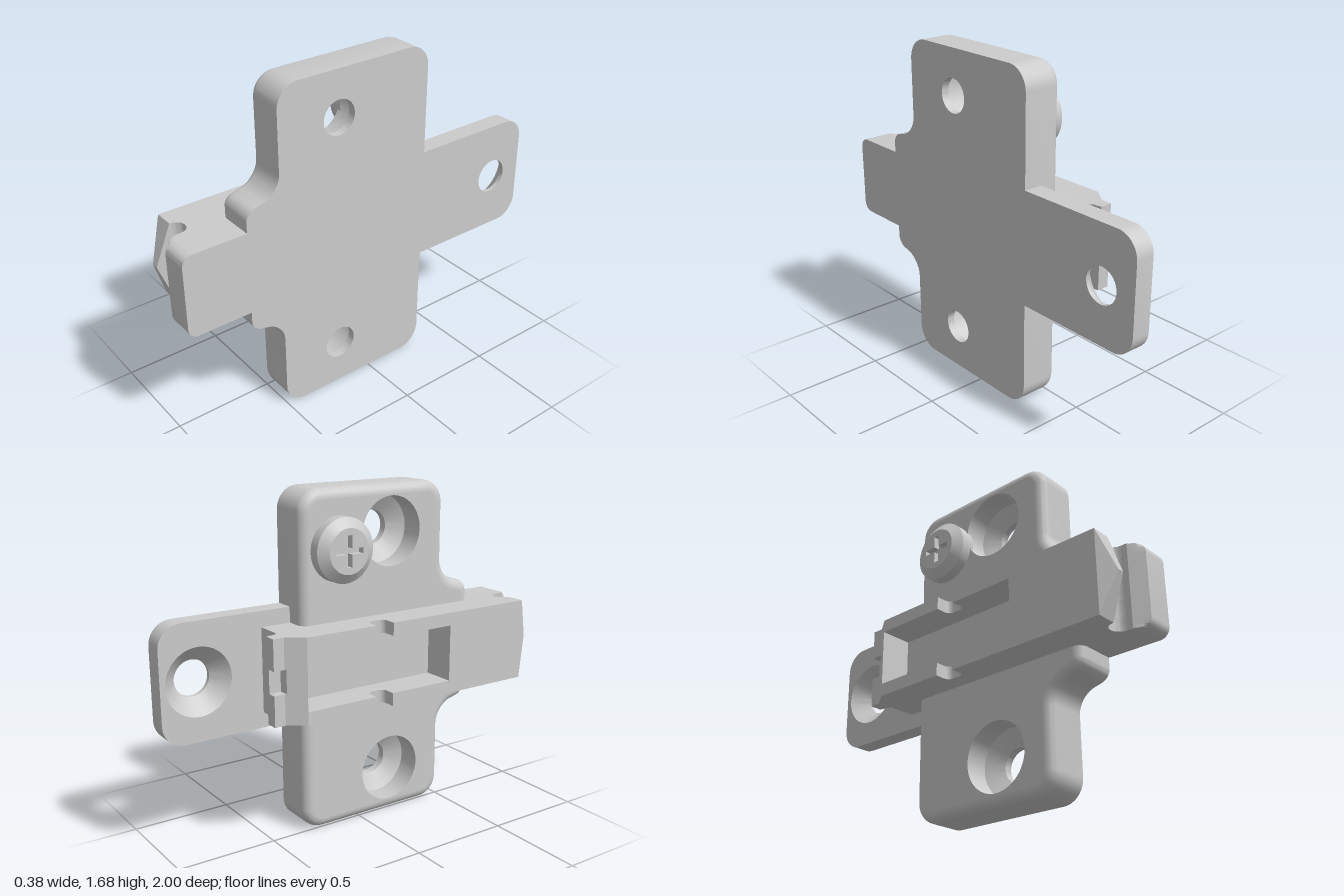
import * as THREE from 'three';
import { toCreasedNormals } from 'three/addons/utils/BufferGeometryUtils.js';

const MAT = new THREE.MeshStandardMaterial({ color: 0xcccccc, side: THREE.DoubleSide });
const MID = 0.842; // height of the mirror plane
const FACE = 0.19; // x of the flat mounting face

function mesh(name, geo) {
  const m = new THREE.Mesh(geo, MAT);
  m.name = name;
  return m;
}

// Closed shape from [z, y, radius] corners, drawn in (-z, y) so it extrudes along x
function roundedShape(corners) {
  const s = new THREE.Shape();
  const n = corners.length;
  const pts = corners.map(([z, y]) => new THREE.Vector2(-z, y));
  pts.forEach((p, i) => {
    const r = corners[i][2] || 0;
    const toward = (q, d) => p.clone().add(q.clone().sub(p).setLength(d));
    const prev = pts[(i + n - 1) % n], next = pts[(i + 1) % n];
    const a = toward(prev, r), b = toward(next, r);
    if (i === 0) s.moveTo(a.x, a.y); else s.lineTo(a.x, a.y);
    if (r) {
      const c = toward(prev, r * 0.45), d = toward(next, r * 0.45);
      s.bezierCurveTo(c.x, c.y, d.x, d.y, b.x, b.y);
    }
  });
  s.closePath();
  return s;
}

// Outline as counter-clockwise points without repeats
function outlinePoints(shape) {
  let p = shape.getPoints(10);
  p = p.filter((v, i) => v.distanceTo(p[(i + 1) % p.length]) > 1e-5);
  return THREE.ShapeUtils.isClockWise(p) ? p.reverse() : p;
}

function insetPoints(pts, d) {
  const n = pts.length;
  const normal = (a, b) => new THREE.Vector2(a.y - b.y, b.x - a.x).normalize();
  return pts.map((p, i) => {
    const n1 = normal(pts[(i + n - 1) % n], p), n2 = normal(p, pts[(i + 1) % n]);
    return p.clone().addScaledVector(n1.clone().add(n2), d / (1 + n1.dot(n2)));
  });
}

// Flat plate along x: edge rounded by `round` on the outer side, stepped holes
function plate(name, corners, x0, round, holes, holeProfile) {
  const g = new THREE.Group();
  g.name = name;
  const base = outlinePoints(roundedShape(corners));
  const rings = [];
  const steps = round ? 8 : 0;
  for (let k = 0; k <= steps; k++) {
    const t = steps ? (k / steps) * Math.PI / 2 : 0;
    rings.push({ x: x0 + round * (1 - Math.sin(t)), pts: insetPoints(base, round * (1 - Math.cos(t))) });
  }
  rings.reverse();
  rings.push({ x: FACE, pts: base });
  rings.sort((a, b) => a.x - b.x);

  const pos = [], idx = [], n = base.length;
  rings.forEach(r => r.pts.forEach(p => pos.push(p.x, p.y, r.x)));
  for (let k = 0; k < rings.length - 1; k++) for (let i = 0; i < n; i++) {
    const a = k * n + i, b = k * n + (i + 1) % n;
    idx.push(a, b, b + n, a, b + n, a + n);
  }
  const side = new THREE.BufferGeometry();
  side.setAttribute('position', new THREE.Float32BufferAttribute(pos, 3));
  side.setIndex(idx);
  g.add(mesh('plateEdge', toCreasedNormals(side, 0.6).rotateY(Math.PI / 2)));

  const last = holeProfile.length - 1;
  for (const [ring, r] of [[rings[0], holeProfile[0][0]], [rings[rings.length - 1], holeProfile[last][0]]]) {
    const s = new THREE.Shape(ring.pts);
    for (const [z, y] of holes) s.holes.push(new THREE.Path().absarc(-z, y, r, 0, Math.PI * 2, true));
    g.add(mesh('plateFace', new THREE.ShapeGeometry(s, 32).translate(0, 0, ring.x).rotateY(Math.PI / 2)));
  }
  for (const [z, y] of holes) {
    const liner = turned('screwHole', holeProfile);
    liner.position.set(0, y, z);
    g.add(liner);
  }
  return g;
}

// Turned part around the x axis from [radius, x] points
function turned(name, profile) {
  const geo = new THREE.LatheGeometry(profile.map(p => new THREE.Vector2(...p)), 64);
  return mesh(name, toCreasedNormals(geo, 0.4).rotateZ(-Math.PI / 2));
}

// Slice of the rail: (x, z) profile raised from y0 to y1
function slice(name, profile, y0, y1) {
  const s = new THREE.Shape(profile.map(([x, z]) => new THREE.Vector2(x, -z)));
  const geo = new THREE.ExtrudeGeometry(s, { depth: y1 - y0, bevelEnabled: false });
  return mesh(name, toCreasedNormals(geo.rotateX(-Math.PI / 2).translate(0, y0, 0), 0.6));
}

function rail() {
  const g = new THREE.Group();
  g.name = 'rail';
  const lo = 0.635, hi = 1.05;
  const arc = (cx, cz, r, a0, a1, n) => Array.from({ length: n + 1 }, (_, i) => {
    const a = a0 + (a1 - a0) * i / n;
    return [cx + r * Math.cos(a), cz + r * Math.sin(a)];
  });
  const back = [[0.09, -0.485], [-0.045, -0.485], [-0.06, -0.5]];
  const lip = [[-0.068, -0.55], [-0.13, -0.55], [-0.13, -0.495]];
  const notchedLip = [[-0.068, -0.55], [-0.085, -0.55], [-0.085, -0.49], [-0.135, -0.488]];
  const slot = [[-0.19, -0.03], ...arc(-0.14, 0, 0.03, -Math.PI / 2, 0, 5),
    ...arc(-0.14, 0.04, 0.03, 0, Math.PI / 2, 5), [-0.19, 0.07]];
  const pocket = [[-0.02, -0.41], [-0.02, 0.42], [-0.19, 0.42]];
  const front = [[-0.19, 0.9], ...arc(-0.04, 0.9, 0.05, Math.PI, Math.PI * 2, 14), [0.09, 0.9]];
  const wall = [...back, ...lip, [-0.19, -0.41], ...slot, ...front];
  const core = end => [...back, ...end, [-0.19, -0.41], ...pocket, ...front];

  g.add(slice('railLowerWall', wall, lo, 0.7), slice('railUpperWall', wall, 0.985, hi));
  g.add(slice('railCoreLower', core(lip), 0.7, 0.785), slice('railCoreUpper', core(lip), 0.9, 0.985));
  g.add(slice('railCoreMiddle', core(notchedLip), 0.785, 0.9));

  // Pointed front nose: two end edges rising to a short ridge at mid height
  const nose = [], c = [-0.19, -0.09], t = [-0.14, -0.105], z0 = 0.9, z1 = 0.975;
  const quad = (a, b, d, e) => nose.push(...a, ...b, ...d, ...a, ...d, ...e);
  for (const y of [lo, hi]) {
    quad([c[0], y, z0], [c[1], y, z0], [t[1], MID, z1], [t[0], MID, z1]);
    for (const i of [0, 1]) nose.push(c[i], y, z0, t[i], MID, z1, c[i], MID, z0);
  }
  // Turn every triangle outward from the inside of the nose
  const inside = new THREE.Vector3(-0.13, MID, 0.9);
  for (let i = 0; i < nose.length; i += 9) {
    const [p, q, r] = [0, 3, 6].map(k => new THREE.Vector3().fromArray(nose, i + k));
    const nrm = q.clone().sub(p).cross(r.clone().sub(p));
    if (nrm.dot(p.clone().sub(inside)) < 0) { q.toArray(nose, i + 6); r.toArray(nose, i + 3); }
  }
  const noseGeo = new THREE.BufferGeometry();
  noseGeo.setAttribute('position', new THREE.Float32BufferAttribute(nose, 3));
  noseGeo.computeVertexNormals();
  g.add(mesh('railNose', noseGeo));

  // Front foot with rounded corners and a sloped inner edge
  const foot = roundedShape([[0.5, lo], [1, lo, 0.05], [1, hi, 0.05], [0.5, hi]]);
  const geo = new THREE.ExtrudeGeometry(foot, { depth: FACE - 0.01, steps: 9, bevelEnabled: false, curveSegments: 8 });
  geo.translate(0, 0, 0.01).rotateY(Math.PI / 2);
  const p = geo.attributes.position;
  for (let i = 0; i < p.count; i++) {
    const limit = 0.93 + (p.getX(i) - 0.01) * 1.75;
    if (p.getX(i) < 0.06 && p.getZ(i) > limit) p.setZ(i, limit);
  }
  g.add(mesh('frontFoot', toCreasedNormals(geo, 0.5)));
  return g;
}

// Adjusting screw with a cross recess
function screw() {
  const g = new THREE.Group();
  g.name = 'adjustingScrew';
  g.add(turned('screwHead', [[0.155, 0], [0.155, -0.075], [0.108, -0.11]]));
  g.add(turned('recessFloor', [[0.0001, -0.075], [0.12, -0.075]]));
  const cap = new THREE.Shape().absarc(0, 0, 0.108, 0, Math.PI * 2);
  const a = 0.014, b = 0.075;
  cap.holes.push(new THREE.Path([[a, a], [a, b], [-a, b], [-a, a], [-b, a], [-b, -a], [-a, -a], [-a, -b],
    [a, -b], [a, -a], [b, -a], [b, a]].map(q => new THREE.Vector2(...q))));
  const geo = new THREE.ExtrudeGeometry(cap, { depth: 0.035, bevelEnabled: false, curveSegments: 32 });
  g.add(mesh('screwTop', toCreasedNormals(geo.translate(0, 0, -0.11).rotateY(Math.PI / 2), 0.5)));
  g.position.set(0, 1.395, -0.125);
  return g;
}

export function createModel() {
  const model = new THREE.Group();
  model.name = 'mountingPlate';

  // Main upright plate, mirrored about mid height
  const half = [[0.68, 1.147, 0.045], [0.505, 1.19, 0.09], [0.505, 1.68, 0.11], [-0.33, 1.68, 0.11]];
  const mirrored = half.map(([z, y, r]) => [z, 2 * MID - y, r]).reverse();
  model.add(plate('body', [...half, ...mirrored], -0.02, 0.05, [[0.18, 1.452], [0.18, 0.232]],
    [[0.17, -0.02], [0.17, 0.1], [0.085, 0.15], [0.085, FACE]]));

  // Thin rear tab with a countersunk hole
  model.add(plate('rearTab', [[-0.3, 0.557], [-0.3, 1.127], [-1, 1.127, 0.11], [-1, 0.557, 0.11]], 0.092, 0,
    [[-0.81, MID]], [[0.165, 0.092], [0.088, 0.17], [0.088, FACE]]));

  model.add(rail(), screw());
  return model;
}
